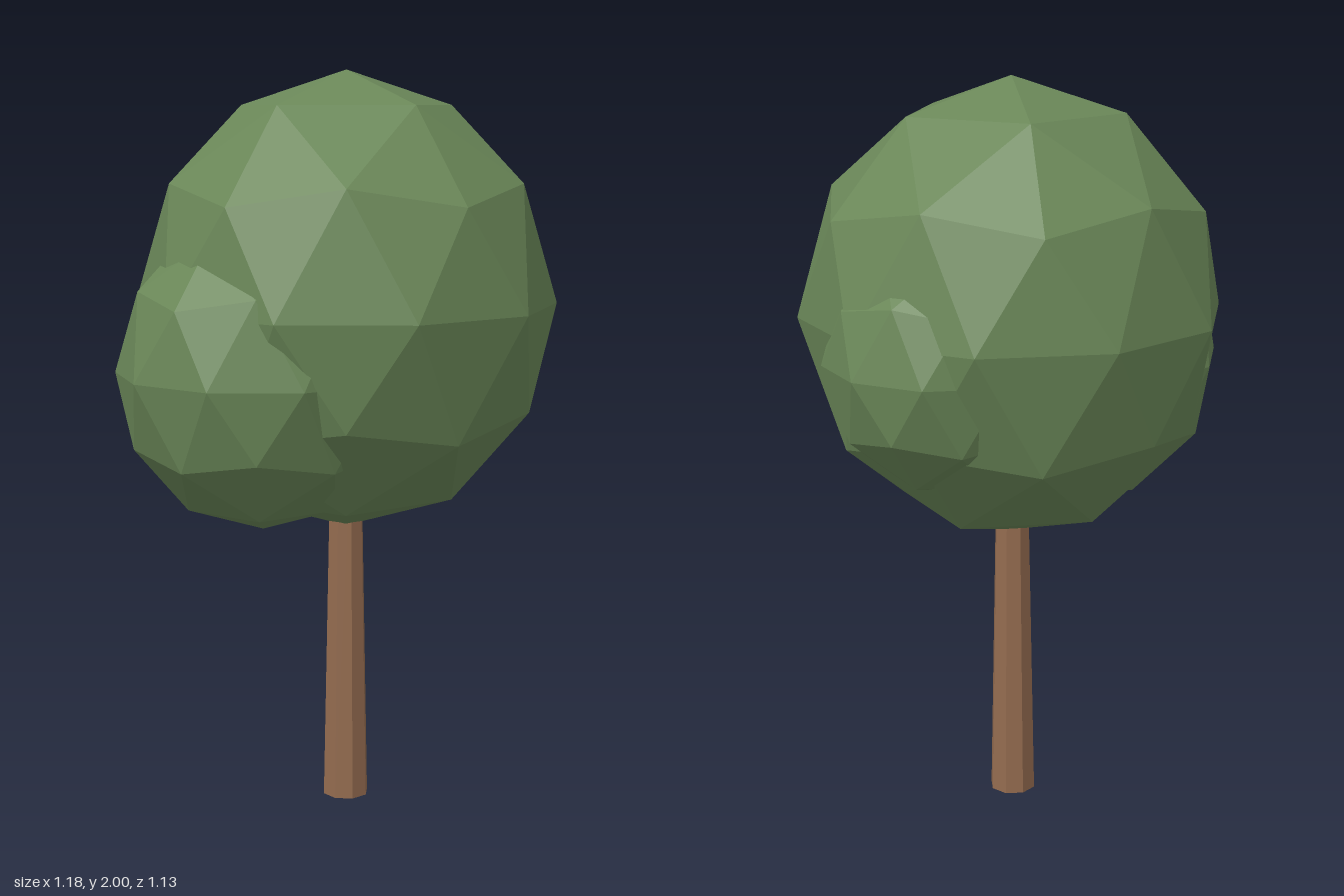
import * as THREE from 'three';

const leafGreen = new THREE.MeshStandardMaterial({ color: 0x6a8758, flatShading: true });
leafGreen.name = 'leafGreen';
const barkBrown = new THREE.MeshStandardMaterial({ color: 0x936b4f, flatShading: true });
barkBrown.name = 'barkBrown';

// Faceted ball with a corner at each pole, slightly taller than wide
function foliage(name, radius, height, x, y, z) {
  const geometry = new THREE.IcosahedronGeometry(1, 1);
  geometry.rotateZ(Math.atan(2 / (1 + Math.sqrt(5)))); // stand a corner upright
  geometry.rotateY(Math.PI);
  geometry.scale(radius, height, radius);
  geometry.computeVertexNormals();
  const mesh = new THREE.Mesh(geometry, leafGreen);
  mesh.name = name;
  mesh.position.set(x, y, z);
  return mesh;
}

export function createModel() {
  const tree = new THREE.Group();
  tree.name = 'tree';

  // Tapered trunk, running up into the crown
  const trunk = new THREE.Mesh(new THREE.CylinderGeometry(0.044, 0.064, 1, 8), barkBrown);
  trunk.name = 'trunk';
  trunk.position.set(0.038, 0.5, 0);
  tree.add(trunk);

  // Large crown with two smaller clumps set into its sides
  tree.add(
    foliage('crown', 0.567, 0.615, 0.038, 1.385, 0),
    foliage('rightClump', 0.385, 0.42, -0.225, 1.22, 0.098),
    foliage('leftClump', 0.322, 0.35, 0.285, 1.3, -0.122)
  );
  return tree;
}
